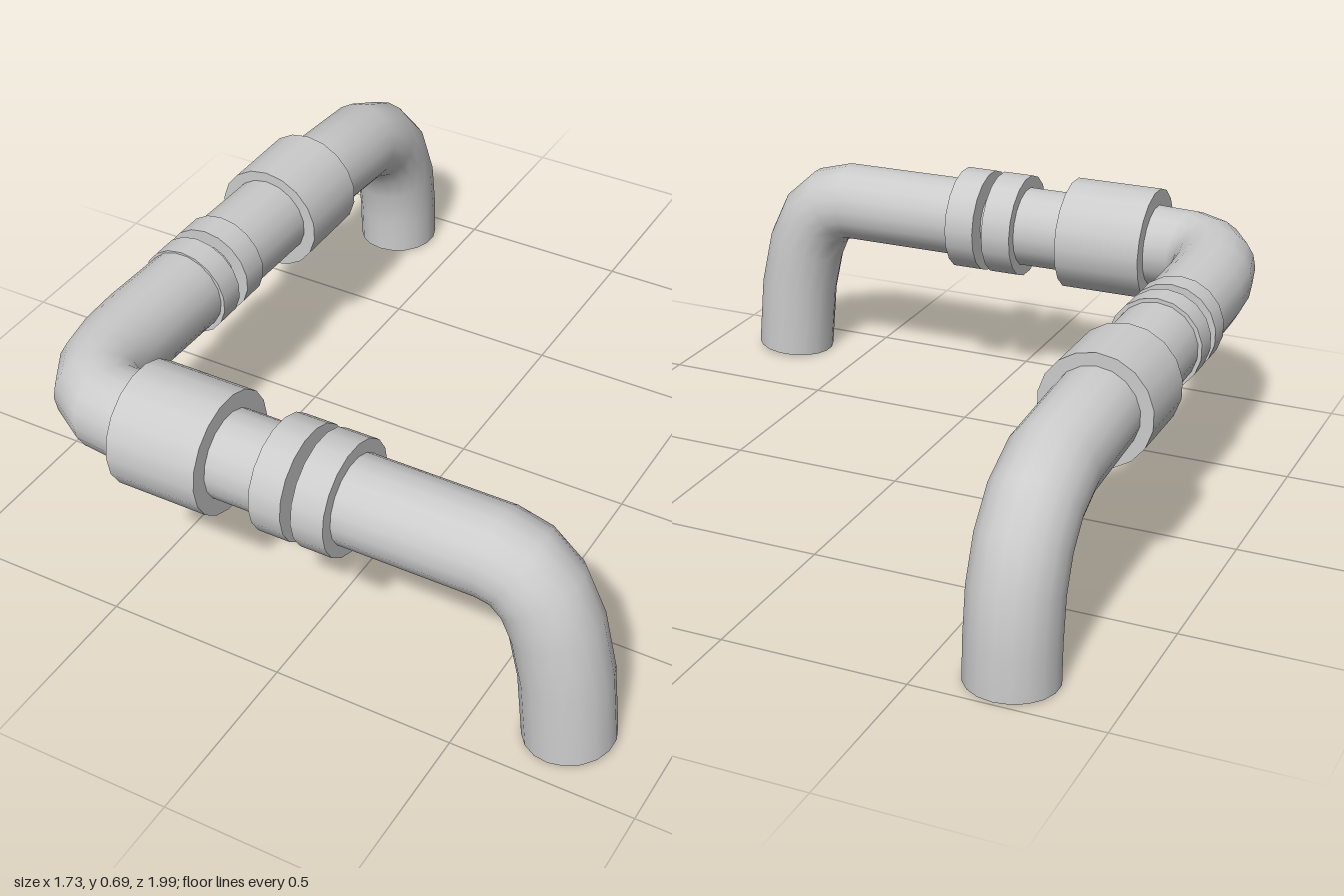
import * as THREE from 'three';

const SIDES = 18;
const PIPE_RADIUS = 0.12;
const grey = new THREE.MeshStandardMaterial({ color: 0xcccccc });
const greyOpen = new THREE.MeshStandardMaterial({ color: 0xcccccc, side: THREE.DoubleSide });

// Path whose rings sit exactly on the given points, so bends keep their facets
class PipePath extends THREE.Curve {
  constructor(points) {
    super();
    this.points = points.map((p) => new THREE.Vector3(...p));
  }
  getPoint(t, target = new THREE.Vector3()) {
    const s = t * (this.points.length - 1);
    const i = Math.min(Math.floor(s), this.points.length - 2);
    return target.lerpVectors(this.points[i], this.points[i + 1], s - i);
  }
  getPointAt(t, target) {
    return this.getPoint(t, target);
  }
  getTangentAt(t, target = new THREE.Vector3()) {
    const p = this.points;
    const i = Math.round(t * (p.length - 1));
    target.set(0, 0, 0);
    if (i > 0) target.add(p[i].clone().sub(p[i - 1]).normalize());
    if (i < p.length - 1) target.add(p[i + 1].clone().sub(p[i]).normalize());
    return target.normalize();
  }
}

function pipe(name, points) {
  const geometry = new THREE.TubeGeometry(new PipePath(points), points.length - 1, PIPE_RADIUS, SIDES);
  const mesh = new THREE.Mesh(geometry, greyOpen);
  mesh.name = name;
  return mesh;
}

// Solid cylinder between two positions along the x or z axis
function collar(name, axis, from, to, radius, [x, y, z]) {
  const geometry = new THREE.CylinderGeometry(radius, radius, to - from, SIDES);
  if (axis === 'x') geometry.rotateZ(Math.PI / 2);
  else geometry.rotateX(Math.PI / 2);
  const mesh = new THREE.Mesh(geometry, grey);
  mesh.name = name;
  mesh.position.set(x, y, z);
  mesh.position[axis] = (from + to) / 2;
  return mesh;
}

export function createModel() {
  const model = new THREE.Group();
  model.name = 'pipeAssembly';
  const X = -0.715; // side run
  const Z = 0.83; // front run
  const Y = 0.515;

  // Back leg bending up into the side run
  model.add(pipe('backPipe', [
    [X, 0, -0.875], [X, 0.11, -0.875], [X, 0.235, -0.863], [X, 0.335, -0.825],
    [X, 0.41, -0.76], [X, 0.462, -0.65], [X, 0.485, -0.35], [X, 0.497, 0.14],
  ]));

  // Corner bend joining the side run to the front run
  model.add(pipe('cornerPipe', [
    [X, 0.5, 0.26], [X, 0.508, 0.5], [-0.708, 0.511, 0.61], [-0.688, Y, 0.705],
    [-0.645, Y, 0.78], [-0.58, Y, 0.82], [-0.47, Y, Z], [-0.02, Y, Z],
  ]));

  // Front run bending down into the left leg
  model.add(pipe('leftPipe', [
    [0.1, Y, Z], [0.535, Y, Z], [0.603, 0.498, Z], [0.66, 0.445, Z],
    [0.7, 0.355, Z], [0.73, 0.21, Z], [0.745, 0.005, Z],
  ]));

  // Couplings: a wide sleeve, and a pair of flanges with a narrow neck between
  const runs = [
    { name: 'front', axis: 'x', centre: [0, 0.517, Z], sleeve: [-0.47, -0.21, 0.167],
      flanges: [[-0.06, 0.03], [0.06, 0.15]], flangeRadius: 0.155 },
    { name: 'side', axis: 'z', centre: [X, 0.496, 0], sleeve: [-0.36, -0.135, 0.155],
      flanges: [[0.1, 0.18], [0.22, 0.295]], flangeRadius: 0.131 },
  ];
  for (const { name, axis, centre, sleeve, flanges, flangeRadius } of runs) {
    const sleeveCentre = axis === 'z' ? [X, 0.485, 0] : centre;
    model.add(collar(`${name}Sleeve`, axis, ...sleeve, sleeveCentre));
    flanges.forEach(([from, to], i) =>
      model.add(collar(`${name}Flange${i + 1}`, axis, from, to, flangeRadius, centre)));
    model.add(collar(`${name}Neck`, axis, flanges[0][1] - 0.02, flanges[1][0] + 0.02, 0.09, centre));
  }
  return model;
}
